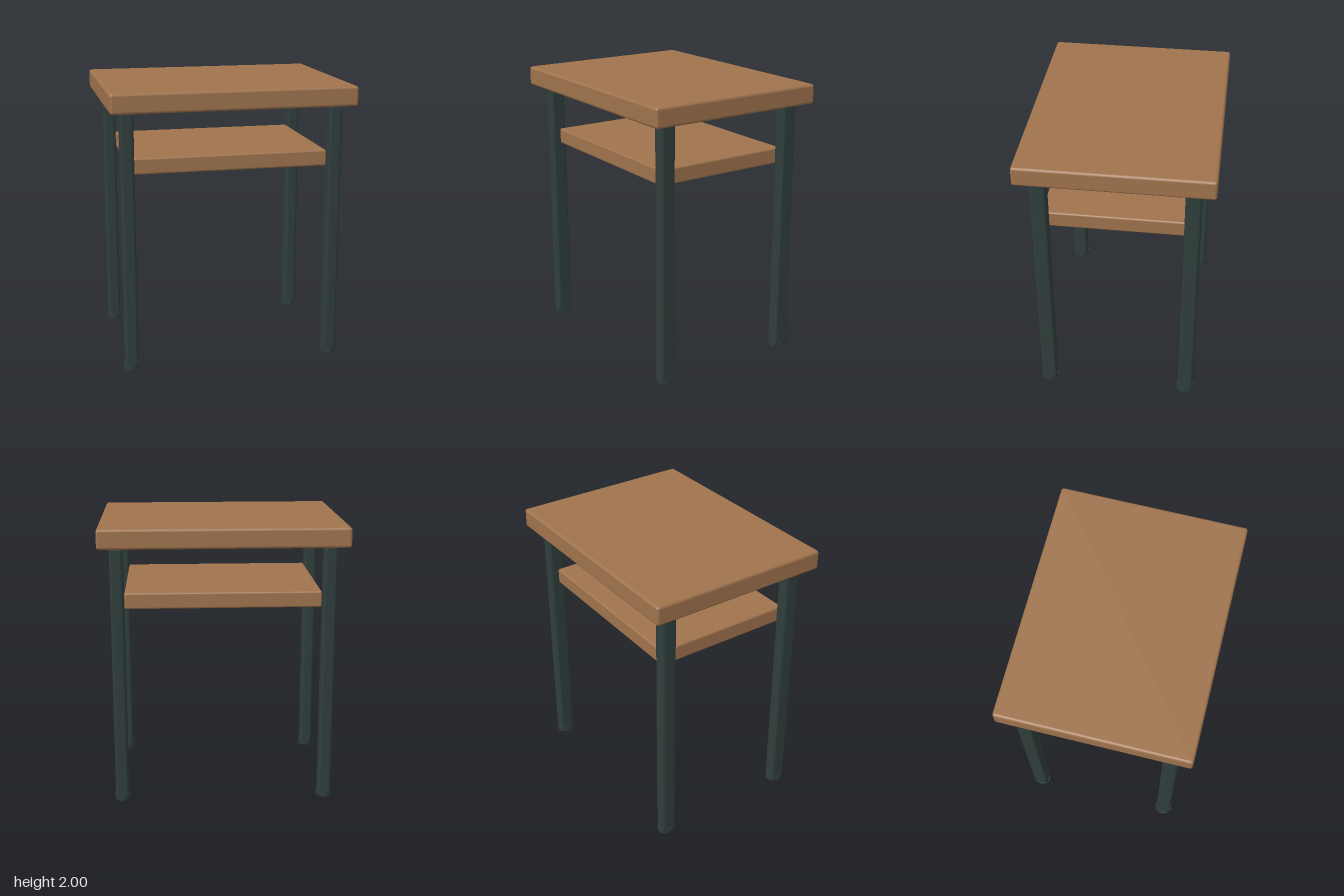
import * as THREE from 'three';
import { RoundedBoxGeometry } from 'three/addons/geometries/RoundedBoxGeometry.js';

export function createModel() {
  const wood = new THREE.MeshStandardMaterial({ color: 0x9f734d });
  wood.name = 'warm wood';
  const metal = new THREE.MeshStandardMaterial({ color: 0x2f3e3c });
  metal.name = 'dark green metal';

  const model = new THREE.Group();
  model.name = 'sideTable';

  function add(parent, name, geometry, material, x, y, z) {
    const mesh = new THREE.Mesh(geometry, material);
    mesh.name = name;
    mesh.position.set(x, y, z);
    parent.add(mesh);
  }

  // Wooden boards with softly rounded edges
  add(model, 'tabletop', new RoundedBoxGeometry(1.726, 0.14, 1.33, 3, 0.02), wood, 0, 1.93, 0);
  add(model, 'shelf', new RoundedBoxGeometry(1.38, 0.115, 1.03, 3, 0.014), wood, 0, 1.473, 0);

  // Four rounded legs, each standing on a low oval foot
  const legShape = new RoundedBoxGeometry(0.093, 1.855, 0.11, 2, 0.02);
  const footShape = new THREE.CylinderGeometry(0.055, 0.055, 0.035, 12);
  footShape.scale(1, 1, 0.065 / 0.055);

  for (const [side, x] of [['Left', 0.738], ['Right', -0.738]]) {
    for (const [end, z] of [['front', 0.515], ['back', -0.515]]) {
      const leg = new THREE.Group();
      leg.name = `${end}${side}Leg`;
      leg.position.set(x, 0, z);
      add(leg, 'post', legShape, metal, 0, 0.9325, 0);
      add(leg, 'foot', footShape, metal, 0, 0.0175, 0);
      model.add(leg);
    }
  }
  return model;
}
